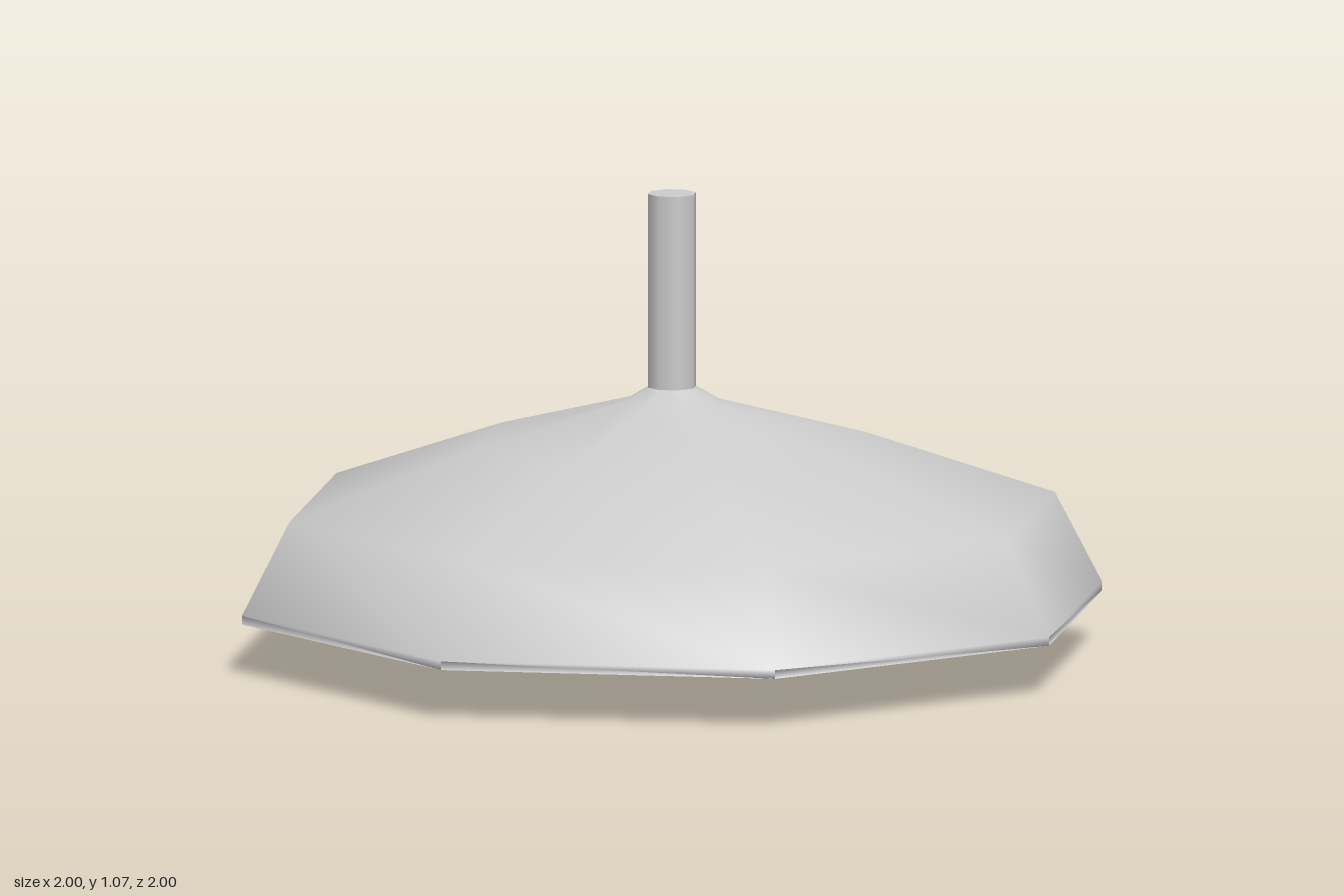
import * as THREE from 'three';

const SIDES = 8;

export function createModel() {
  const model = new THREE.Group();
  const material = new THREE.MeshStandardMaterial({ color: 0xcccccc });

  function add(name, geometry, y = 0) {
    const mesh = new THREE.Mesh(geometry, material);
    mesh.name = name;
    mesh.position.y = y;
    model.add(mesh);
  }

  // Eight-sided shade: down the inside, round the rim, up the outside
  const profile = [
    [0, 0.6], [0.1, 0.575], [0.44, 0.48], [0.87, 0.33], [0.95, 0.19],
    [1, 0.12], [1, 0.14],
    [0.89, 0.35], [0.45, 0.505], [0.11, 0.595], [0.05, 0.63],
  ].map(([r, y]) => new THREE.Vector2(r, y));
  add('shade', new THREE.LatheGeometry(profile, SIDES));

  // Round bulb hanging just below the rim
  add('bulb', new THREE.SphereGeometry(0.282, 16, 8), 0.286);

  // Hanging rod
  add('rod', new THREE.CylinderGeometry(0.056, 0.056, 0.45, SIDES), 0.845);

  return model;
}
